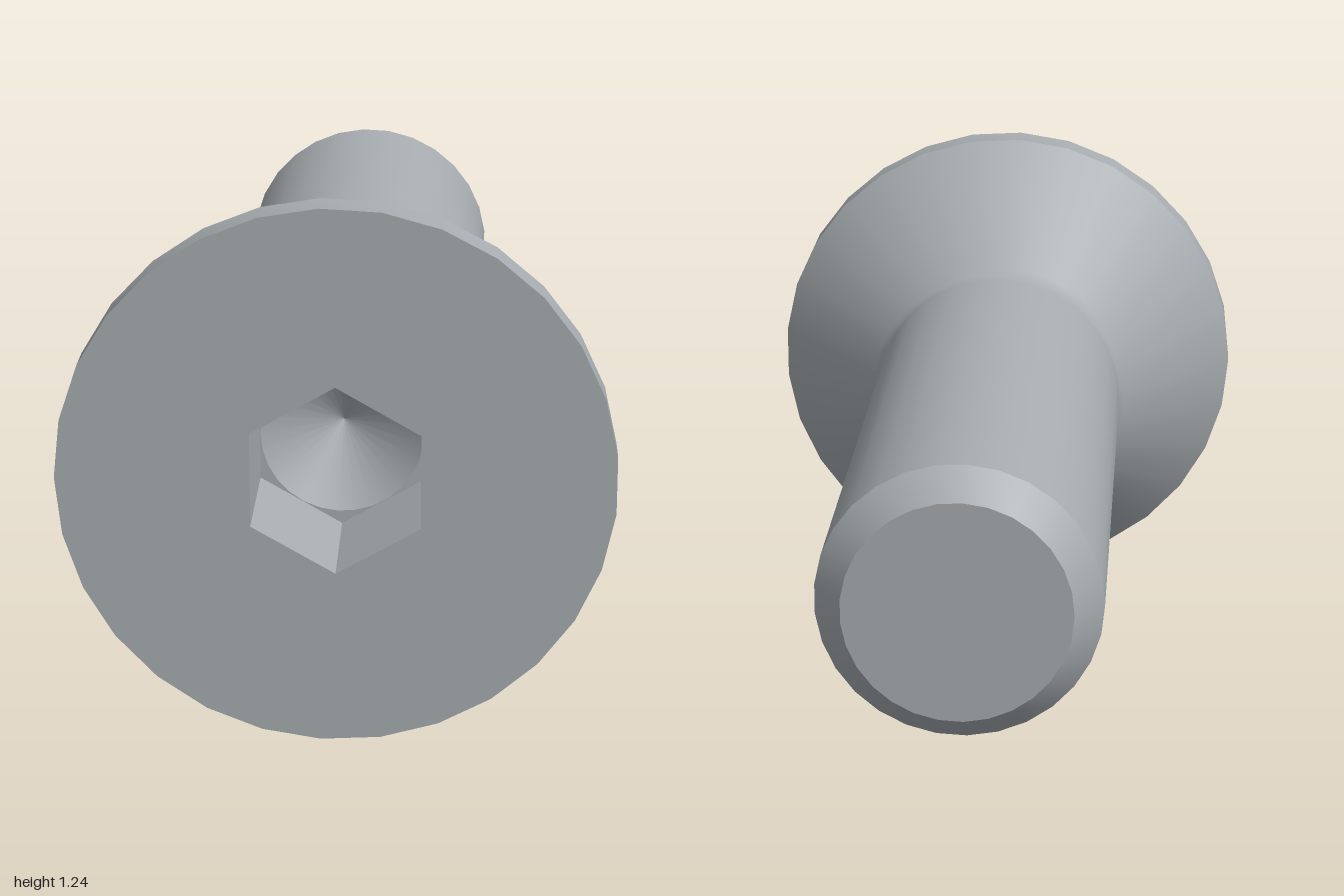
import * as THREE from 'three';
import { toCreasedNormals } from 'three/addons/utils/BufferGeometryUtils.js';

const SIDES = 29;
const HEAD_R = 0.622, SHAFT_R = 0.325, HEX_R = 0.218;
const BORE_R = HEX_R * Math.cos(Math.PI / 6);
const FLOOR_Z = 0.69, AXIS_Y = 0.621;

export function createModel() {
  const steel = new THREE.MeshStandardMaterial({ color: 0xa6acb0 });
  steel.name = 'steel grey';

  const bolt = new THREE.Group();
  bolt.name = 'countersunkBolt';
  bolt.position.y = AXIS_Y;

  const add = (name, geometry, z = 0) => {
    const mesh = new THREE.Mesh(geometry, steel);
    mesh.name = name;
    mesh.position.z = z;
    bolt.add(mesh);
  };

  // Turn a profile of [radius, z] pairs around the z axis
  const turned = (profile, sides, start = -Math.PI / 2) => {
    const points = profile.map(([r, z]) => new THREE.Vector2(r, z));
    const geometry = new THREE.LatheGeometry(points, sides, start).rotateX(Math.PI / 2);
    return toCreasedNormals(geometry, 0.5);
  };

  // Corners of a regular polygon
  const polygon = (radius, sides, start) => Array.from({ length: sides }, (_, i) => {
    const a = start + (i / sides) * Math.PI * 2;
    return new THREE.Vector2(radius * Math.cos(a), radius * Math.sin(a));
  });

  // Flat plate facing +z with a hole in it
  const plate = (outer, inner) => {
    const shape = new THREE.Shape(outer);
    shape.holes.push(new THREE.Path(inner));
    return new THREE.ShapeGeometry(shape);
  };

  const hexagon = polygon(HEX_R, 6, Math.PI / 2);

  // Chamfered shaft tip and shaft
  add('shaft', turned([[0, -1], [0.26, -1], [SHAFT_R, -0.93], [SHAFT_R, 0.56]], SIDES));

  // Small fillet, countersunk cone and rim
  add('head', turned([
    [SHAFT_R, 0.555], [0.327, 0.572], [0.333, 0.587], [0.343, 0.6],
    [HEAD_R, 0.912], [HEAD_R, 1],
  ], SIDES));
  add('headFace', plate(polygon(HEAD_R, SIDES, Math.PI), hexagon), 1);

  // Hexagonal socket with a drilled conical bottom
  add('socketWalls', turned([[HEX_R, 1], [HEX_R, FLOOR_Z]], 6, 0));
  add('socketFloor', plate(hexagon, polygon(BORE_R * 0.995, SIDES, Math.PI)), FLOOR_Z);
  add('socketCone', turned([[BORE_R * 0.995, FLOOR_Z], [0, FLOOR_Z - 0.11]], SIDES));

  const model = new THREE.Group();
  model.name = 'model';
  model.add(bolt);
  return model;
}
